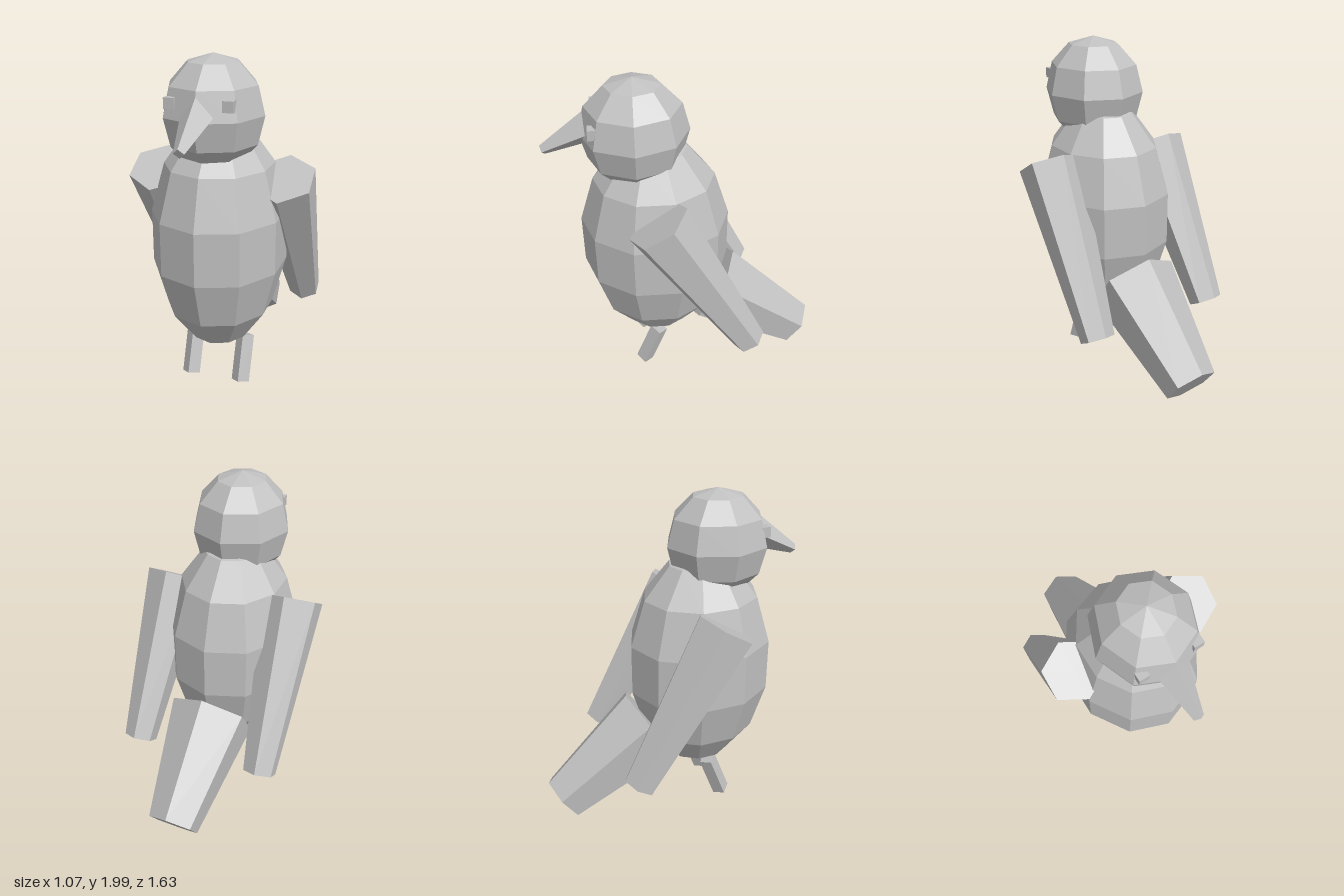
import * as THREE from 'three';

const UP = new THREE.Vector3(0, 1, 0);

export function createModel() {
  const bird = new THREE.Group();
  bird.name = 'bird';
  const grey = new THREE.MeshStandardMaterial({ color: 0xc0c0c0, flatShading: true });
  grey.name = 'plain grey';

  function add(name, geometry) {
    const mesh = new THREE.Mesh(geometry, grey);
    mesh.name = name;
    bird.add(mesh);
    return mesh;
  }

  // Faceted ellipsoid with a column of vertices facing the front
  function ellipsoid(name, columns, rows, radii, centre) {
    const geometry = new THREE.SphereGeometry(1, columns, rows);
    geometry.rotateY(Math.PI / 2).scale(...radii);
    return add(name, geometry).position.set(...centre);
  }

  // Tapered prism whose axis runs from the start point to the end point
  function taper(name, sides, start, startRadius, end, endRadius) {
    const a = new THREE.Vector3(...start);
    const b = new THREE.Vector3(...end);
    const axis = b.clone().sub(a);
    const geometry = new THREE.CylinderGeometry(endRadius, startRadius, axis.length(), sides);
    const mesh = add(name, geometry);
    mesh.quaternion.setFromUnitVectors(UP, axis.normalize());
    mesh.position.copy(a).add(b).multiplyScalar(0.5);
  }

  // Body and head
  ellipsoid('body', 10, 7, [0.4, 0.7, 0.451], [0, 0.94, 0.19]);
  ellipsoid('head', 8, 6, [0.29, 0.32, 0.31], [0, 1.68, 0.29]);

  // Beak and tail
  taper('beak', 4, [0, 1.74, 0.49], 0.105, [0, 1.58, 0.803], 0.03);
  taper('tail', 6, [0, 0.136, -0.718], 0.156, [0, 0.56, -0.137], 0.265);

  // Paired parts
  for (const [side, s] of [['left', 1], ['right', -1]]) {
    taper(side + 'Wing', 6, [s * 0.404, 0.403, -0.355], 0.1, [s * 0.375, 1.31, 0.185], 0.185);
    taper(side + 'Leg', 4, [s * 0.16, 0.028, 0.294], 0.055, [s * 0.16, 0.295, 0.192], 0.055);
    add(side + 'Eye', new THREE.BoxGeometry(0.06, 0.06, 0.06)).position.set(s * 0.16, 1.765, 0.505);
  }

  return bird;
}
